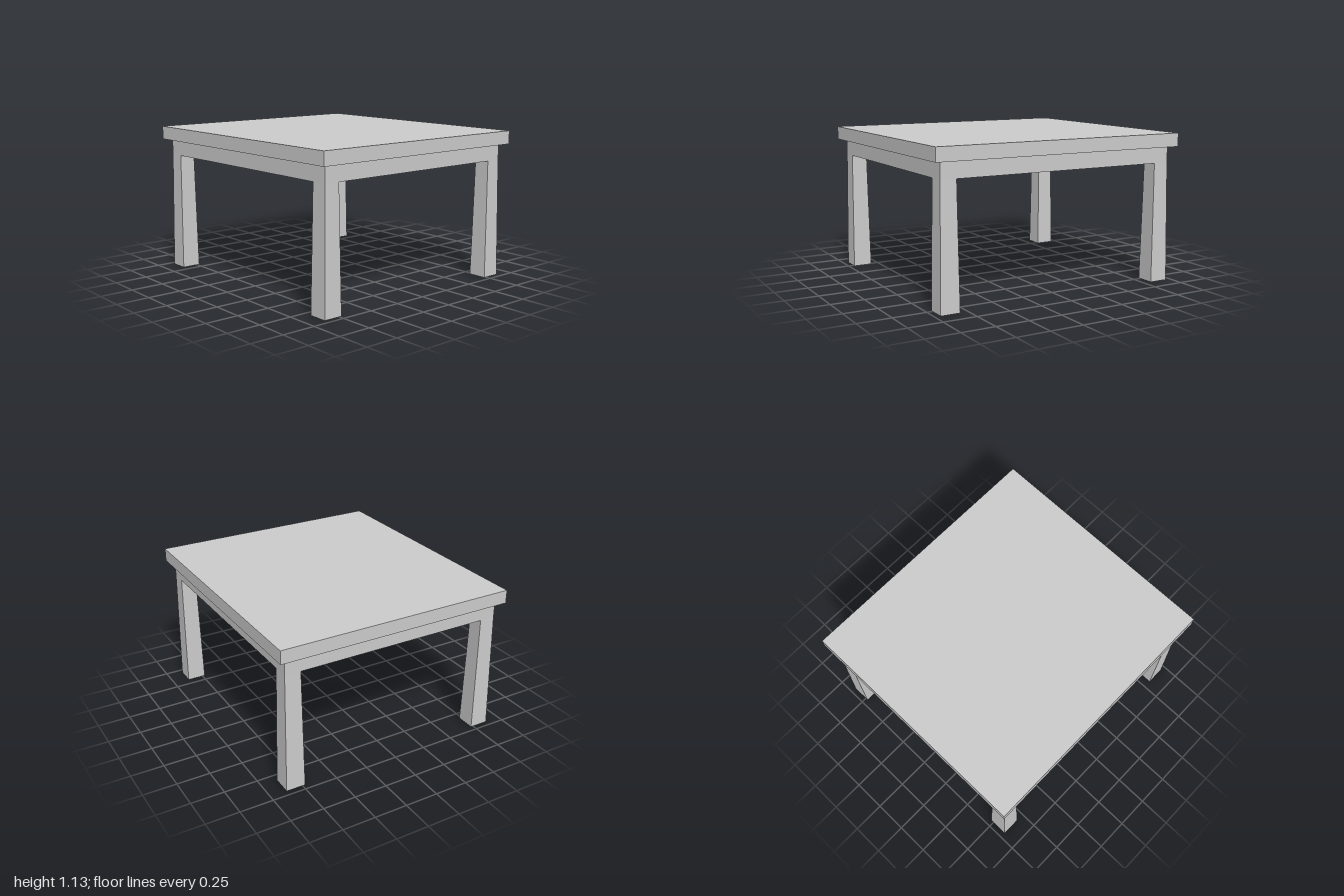
import * as THREE from 'three';

const TOP = { x: 1, z: 0.917, y0: 1.027, y1: 1.128 };
const APRON = { x: 0.945, z: 0.863, width: 0.12, y0: 0.905 };
const FOOT_SCALE = 1.21; // legs widen towards the floor

export function createModel() {
  const table = new THREE.Group();
  table.name = 'table';
  const material = new THREE.MeshStandardMaterial({ color: 0xcccccc, flatShading: true });

  const add = (name, geometry, x, y, z) => {
    const mesh = new THREE.Mesh(geometry, material);
    mesh.name = name;
    mesh.position.set(x, y, z);
    table.add(mesh);
  };

  // Table top slab
  const thickness = TOP.y1 - TOP.y0;
  add('tableTop', new THREE.BoxGeometry(TOP.x * 2, thickness, TOP.z * 2), 0, TOP.y0 + thickness / 2, 0);

  // Apron: one rectangular frame with an open middle
  const rectangle = (path, hx, hz) =>
    path.moveTo(-hx, -hz).lineTo(hx, -hz).lineTo(hx, hz).lineTo(-hx, hz).closePath();
  const frame = rectangle(new THREE.Shape(), APRON.x, APRON.z);
  frame.holes.push(rectangle(new THREE.Path(), APRON.x - APRON.width, APRON.z - APRON.width));
  const apron = new THREE.ExtrudeGeometry(frame, { depth: TOP.y0 - APRON.y0, bevelEnabled: false });
  apron.rotateX(-Math.PI / 2);
  add('apron', apron, 0, APRON.y0, 0);

  // Four square legs, flush with the apron corners and wider at the foot
  const leg = new THREE.BoxGeometry(APRON.width, APRON.y0, APRON.width);
  const p = leg.attributes.position;
  for (let i = 0; i < p.count; i++) {
    if (p.getY(i) < 0) {
      p.setX(i, p.getX(i) * FOOT_SCALE);
      p.setZ(i, p.getZ(i) * FOOT_SCALE);
    }
  }
  leg.computeVertexNormals();
  for (const [sx, side] of [[1, 'Left'], [-1, 'Right']]) {
    for (const [sz, end] of [[1, 'front'], [-1, 'back']]) {
      add(`${end}${side}Leg`, leg, sx * (APRON.x - APRON.width / 2), APRON.y0 / 2, sz * (APRON.z - APRON.width / 2));
    }
  }

  return table;
}
